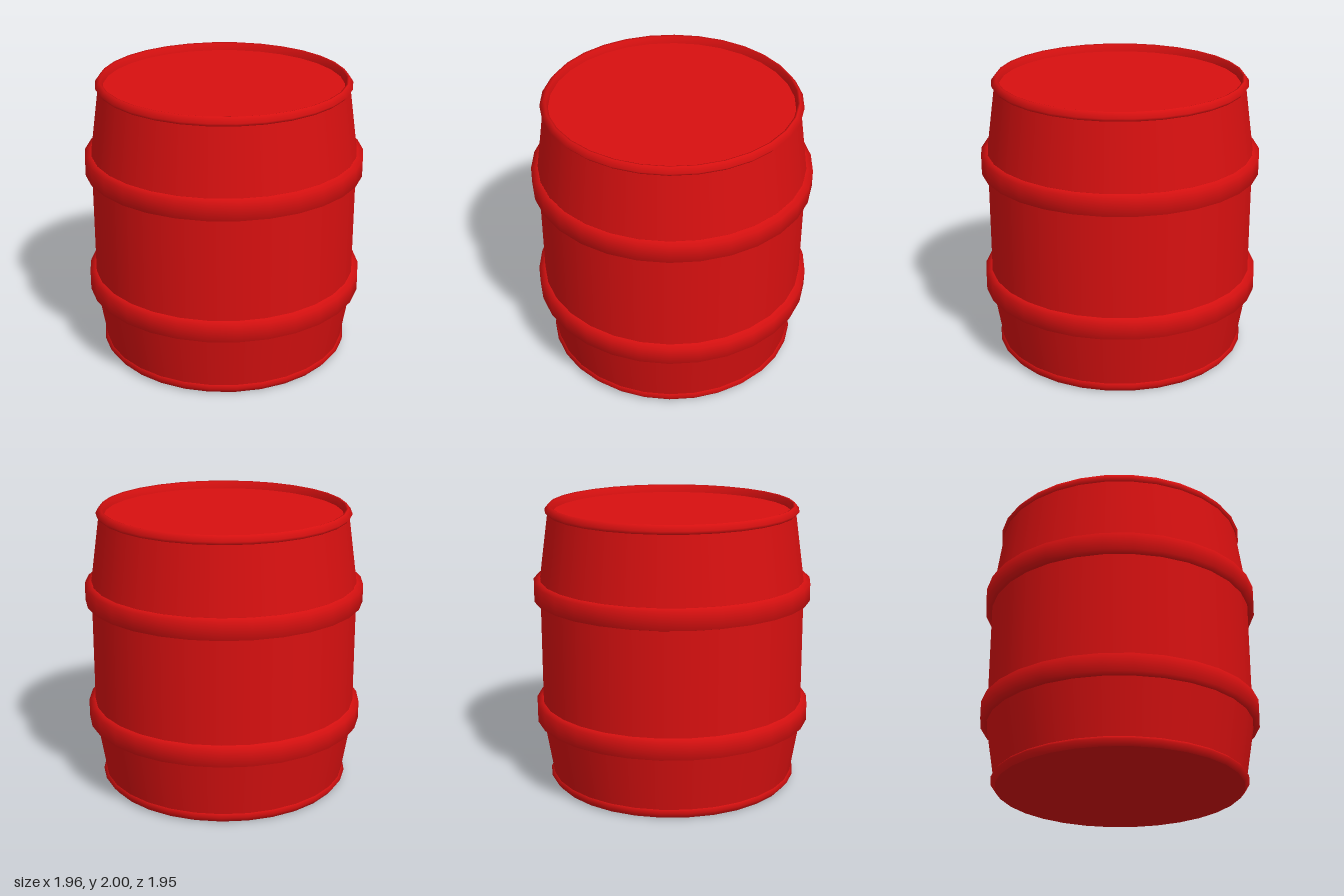
import * as THREE from 'three';

const SIDES = 30;
const red = new THREE.MeshStandardMaterial({ color: 0xd81010 });

// Revolves [radius, height] points, listed upward along the outside, with a corner on +x
function ring(name, points) {
  const profile = points.map(([r, y]) => new THREE.Vector2(r, y));
  const geometry = new THREE.LatheGeometry(profile, SIDES);
  geometry.rotateY(Math.PI / 2);
  const mesh = new THREE.Mesh(geometry, red);
  mesh.name = name;
  return mesh;
}

// Flat end disc facing up (1) or down (-1)
function disc(name, radius, y, facing) {
  const mesh = new THREE.Mesh(new THREE.CircleGeometry(radius, SIDES), red);
  mesh.rotation.x = -facing * Math.PI / 2;
  mesh.position.y = y;
  mesh.name = name;
  return mesh;
}

export function createModel() {
  const barrel = new THREE.Group();
  barrel.name = 'barrel';

  // Body: tapered ends and a straight middle
  barrel.add(
    ring('lowerBody', [[0.87, 0.06], [0.935, 0.45]]),
    ring('middleBody', [[0.935, 0.45], [0.935, 1.48]]),
    ring('upperBody', [[0.935, 1.47], [0.87, 1.94]]),
  );

  // Raised hoops with bevelled edges
  for (const [name, y] of [['lowerHoop', 0.522], ['upperHoop', 1.403]]) {
    barrel.add(ring(name, [
      [0.93, y - 0.077], [0.98, y - 0.062], [0.98, y + 0.062], [0.93, y + 0.077],
    ]));
  }

  // Bottom rim and flush base
  barrel.add(
    ring('bottomRim', [[0.858, 0], [0.89, 0.04], [0.868, 0.065]]),
    disc('base', 0.858, 0, -1),
  );

  // Top rim, rolling over to a recessed lid
  barrel.add(
    ring('topRim', [[0.868, 1.937], [0.89, 1.963], [0.86, 2], [0.845, 1.995], [0.835, 1.945]]),
    disc('lid', 0.835, 1.945, 1),
  );

  return barrel;
}
